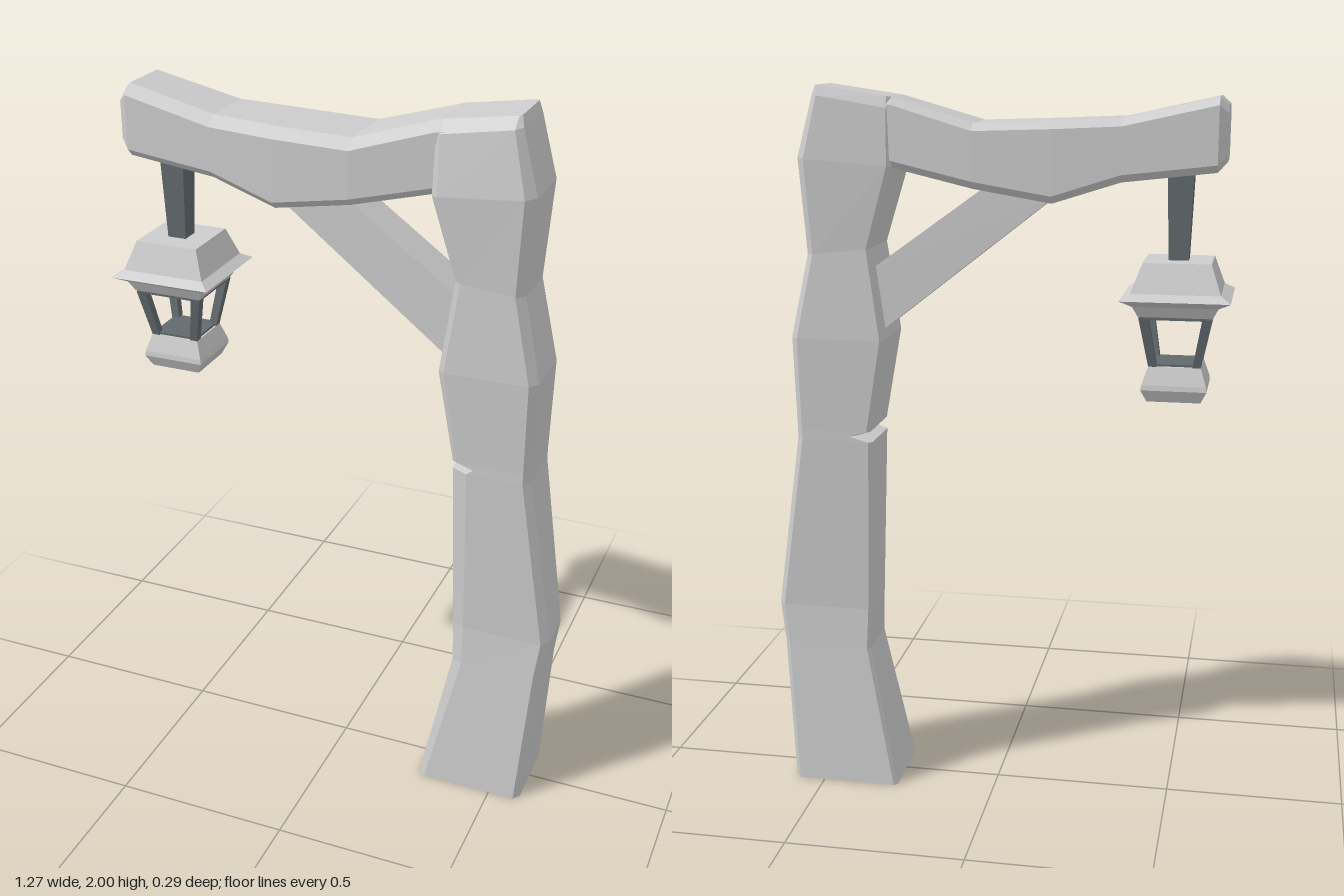
import * as THREE from 'three';

// Skin a stack of equal-length rings with flat faces and capped ends.
// Rings run counterclockwise when seen from the far end of the stack.
function loft(rings) {
  const out = [];
  const tri = (a, b, c) => out.push(...a, ...b, ...c);
  const n = rings[0].length;
  for (let r = 0; r < rings.length - 1; r++) {
    const a = rings[r], b = rings[r + 1];
    for (let i = 0; i < n; i++) {
      const j = (i + 1) % n;
      tri(a[i], a[j], b[j]);
      tri(a[i], b[j], b[i]);
    }
  }
  const first = rings[0], last = rings[rings.length - 1];
  for (let i = 1; i < n - 1; i++) {
    tri(first[0], first[i + 1], first[i]);
    tri(last[0], last[i], last[i + 1]);
  }
  const g = new THREE.BufferGeometry();
  g.setAttribute('position', new THREE.Float32BufferAttribute(out, 3));
  g.computeVertexNormals();
  return g;
}

// Horizontal square ring around (x, z)
const square = (half, y, x = 0, z = 0) => [
  [x + half, y, z + half], [x + half, y, z - half],
  [x - half, y, z - half], [x - half, y, z + half],
];

// Post ring: left and right ends may sit at different heights
function postRing([xl, yl, xr, yr, zf, zb, cl, c]) {
  const at = (x, z) => [x, yl + (yr - yl) * (x - xl) / (xr - xl), z];
  return [
    at(xr, zf - c), at(xr, zb + c), at(xr - c * 0.8, zb), at(xl + 0.01, zb),
    at(xl, zb + 0.01), at(xl, zf - cl * 0.5), at(xl + cl, zf), at(xr - c * 0.8, zf),
  ];
}

// Beam ring: rectangle in the y-z plane with bevelled corners
function beamRing([x, yb, yt, zf, zb]) {
  return [
    [x, yt, zf - 0.035], [x, yt - 0.025, zf], [x, yb + 0.02, zf], [x, yb, zf - 0.02],
    [x, yb, zb + 0.02], [x, yb + 0.02, zb], [x, yt - 0.02, zb], [x, yt, zb + 0.02],
  ];
}

export function createModel() {
  const model = new THREE.Group();
  const paleGrey = new THREE.MeshStandardMaterial({ color: 0xcccccc });
  const darkMetal = new THREE.MeshStandardMaterial({ color: 0x626a6e });
  const add = (parent, name, geometry, material) => {
    const mesh = new THREE.Mesh(geometry, material);
    mesh.name = name;
    parent.add(mesh);
    return mesh;
  };

  // Crooked post with a split on its inner edge
  // left x, left y, right x, right y, front z, back z, left bevel, right bevel
  add(model, 'post', loft([
    [0.28, 0, 0.59, 0, 0.12, -0.12, 0.02, 0.02],
    [0.36, 0.41, 0.62, 0.42, 0.09, -0.09, 0.03, 0.022],
    [0.355, 0.53, 0.635, 0.53, 0.083, -0.083, 0.035, 0.024],
    [0.34, 1.03, 0.56, 1.03, 0.098, -0.098, 0.045, 0.024],
    [0.395, 1.045, 0.56, 1.045, 0.098, -0.098, 0.008, 0.024],
    [0.345, 1.06, 0.56, 1.06, 0.098, -0.098, 0.012, 0.024],
    [0.30, 1.32, 0.565, 1.32, 0.108, -0.108, 0.015, 0.026],
    [0.335, 1.57, 0.515, 1.55, 0.1, -0.1, 0.015, 0.026],
    [0.27, 1.79, 0.532, 1.81, 0.113, -0.115, 0.015, 0.03],
    [0.27, 1.94, 0.485, 1.975, 0.092, -0.11, 0.012, 0.02],
    [0.27, 1.97, 0.475, 2.0, 0.06, -0.1, 0.01, 0.008],
  ].map(postRing)), paleGrey);

  // Sagging beam: x, bottom, top, front z, back z
  add(model, 'beam', loft([
    [-0.61, 1.81, 1.955, 0.075, -0.09],
    [-0.587, 1.785, 1.975, 0.092, -0.11],
    [-0.34, 1.757, 1.92, 0.103, -0.112],
    [-0.16, 1.7, 1.912, 0.115, -0.12],
    [0.05, 1.735, 1.905, 0.115, -0.12],
    [0.27, 1.785, 1.97, 0.09, -0.108],
    [0.31, 1.8, 1.972, 0.088, -0.105],
  ].map(beamRing)), paleGrey);

  // Diagonal brace between post and beam
  const brace = new THREE.Shape([
    [-0.17, 1.72], [0.34, 1.32], [0.34, 1.51], [0.0, 1.755],
  ].map(([x, y]) => new THREE.Vector2(x, y)));
  const braceGeometry = new THREE.ExtrudeGeometry(brace, { depth: 0.12, bevelEnabled: false });
  braceGeometry.translate(0, 0, -0.06);
  add(model, 'brace', braceGeometry, paleGrey);

  // Lantern hanging from the beam end
  const lantern = new THREE.Group();
  lantern.name = 'lantern';
  lantern.position.x = -0.49;
  model.add(lantern);
  const stack = (name, profile, material) =>
    add(lantern, name, loft(profile.map(([half, y]) => square(half, y))), material);

  stack('hanger', [[0.026, 1.54], [0.035, 1.79]], darkMetal);
  stack('lanternRoof', [
    [0.098, 1.408], [0.113, 1.437], [0.145, 1.455], [0.118, 1.472], [0.09, 1.55],
  ], paleGrey);
  stack('lanternCeiling', [[0.094, 1.4], [0.094, 1.407]], darkMetal);
  stack('lanternBase', [[0.072, 1.175], [0.088, 1.208], [0.086, 1.222], [0.07, 1.27]], paleGrey);
  stack('lanternFloor', [[0.066, 1.271], [0.066, 1.277]], darkMetal);

  // Four splayed corner bars
  for (const sx of [-1, 1]) {
    for (const sz of [-1, 1]) {
      add(lantern, 'cornerBar', loft([
        square(0.011, 1.265, sx * 0.058, sz * 0.058),
        square(0.013, 1.405, sx * 0.084, sz * 0.084),
      ]), darkMetal);
    }
  }
  return model;
}
